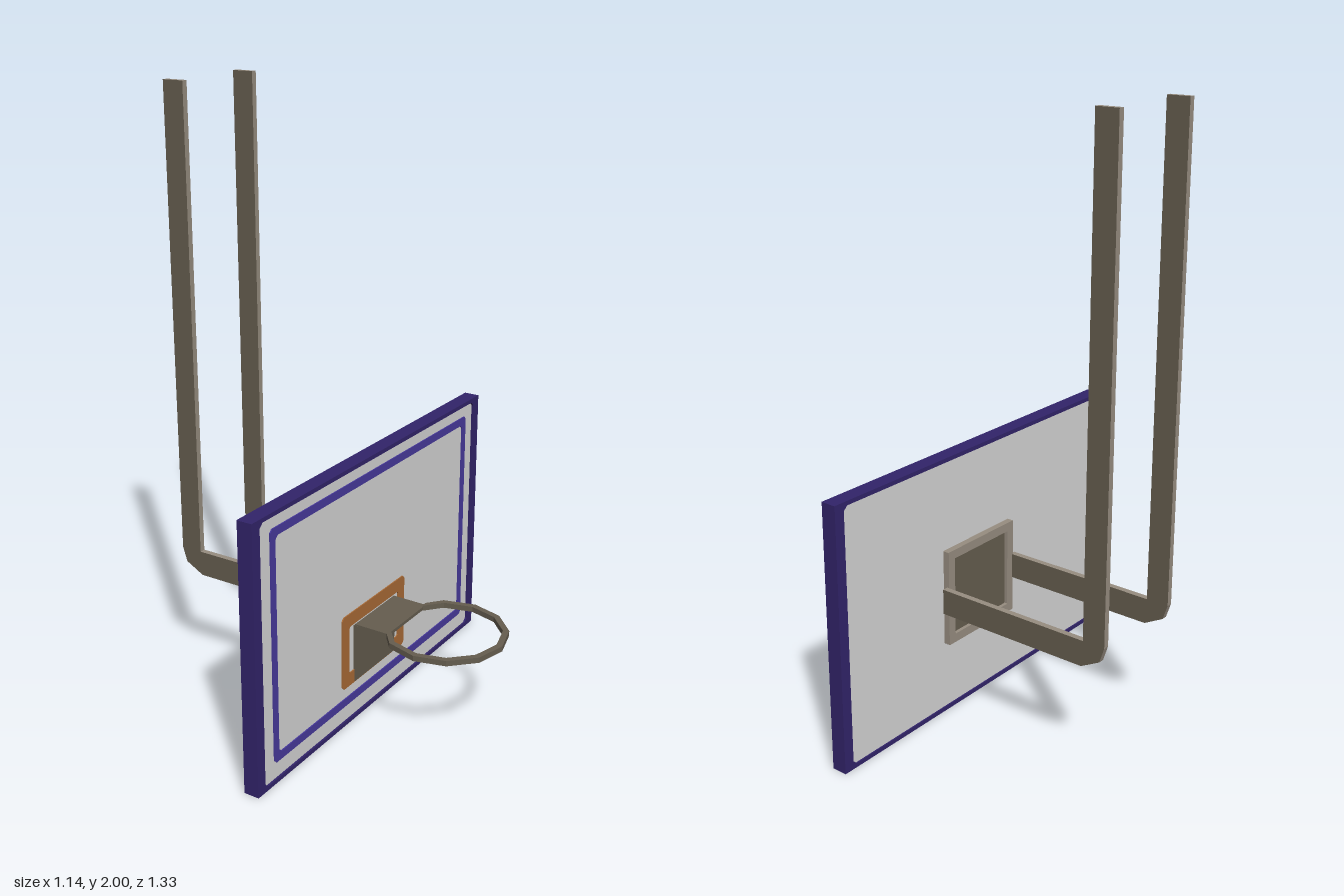
import * as THREE from 'three';

const mat = (name, color, side = THREE.FrontSide) => {
  const m = new THREE.MeshStandardMaterial({ color, side });
  m.name = name;
  return m;
};

export function createModel() {
  const navy = mat('navy frame', 0x32246a);
  const violet = mat('violet line', 0x47399c);
  const grey = mat('board grey', 0xd4d4d4);
  const orange = mat('target orange', 0xa86a36);
  const steel = mat('dark steel', 0x655d4f);
  const paleSteel = mat('pale steel', 0x978d80);

  const model = new THREE.Group();
  const add = (name, geometry, material) => {
    const mesh = new THREE.Mesh(geometry, material);
    mesh.name = name;
    model.add(mesh);
    return mesh;
  };
  const box = (name, x0, x1, y0, y1, z0, z1, material) =>
    add(name, new THREE.BoxGeometry(x1 - x0, y1 - y0, z1 - z0)
      .translate((x0 + x1) / 2, (y0 + y1) / 2, (z0 + z1) / 2), material);

  // Rectangle with cut corners, drawn in the plane of the board (u = -z)
  const cutRect = (z0, z1, y0, y1, c) => {
    const a = -z1, b = -z0;
    return [[a + c, y0], [b - c, y0], [b, y0 + c], [b, y1 - c],
      [b - c, y1], [a + c, y1], [a, y1 - c], [a, y0 + c]].map(p => new THREE.Vector2(...p));
  };
  // Rectangular ring facing +x
  const ring = (name, [z0, z1, y0, y1], wz, wy, x, depth, cutOut, cutIn, material) => {
    const shape = new THREE.Shape(cutRect(z0, z1, y0, y1, cutOut));
    shape.holes.push(new THREE.Path(cutRect(z0 + wz, z1 - wz, y0 + wy, y1 - wy, cutIn)));
    const g = new THREE.ExtrudeGeometry(shape, { depth, bevelEnabled: false });
    add(name, g.rotateY(Math.PI / 2).translate(x, 0, 0), material);
  };

  // Backboard
  ring('boardFrame', [-0.664, 0.662, 0, 0.885], 0.036, 0.014, 0.055, 0.052, 0.0005, 0.014, navy);
  box('boardPanel', 0.06, 0.1, 0.006, 0.879, -0.65, 0.648, grey);
  ring('borderLine', [-0.58, 0.573, 0.068, 0.832], 0.024, 0.027, 0.1, 0.004, 0.01, 0.012, violet);
  ring('targetSquare', [-0.175, 0.203, 0.132, 0.388], 0.04, 0.045, 0.1, 0.004, 0.01, 0.006, orange);

  // Rear mounting plate with a raised rim
  ring('mountRim', [-0.19, 0.14, 0.245, 0.573], 0.03, 0.03, 0.038, 0.022, 0.001, 0.001, paleSteel);
  box('mountPlate', 0.05, 0.06, 0.26, 0.56, -0.18, 0.13, steel);

  // Two bent hanger bars: dark broad faces, pale narrow edges
  const bar = new THREE.Shape([
    [0.045, 0.365], [-0.492, 0.365], [-0.557, 0.4], [-0.573, 0.45],
    [-0.573, 2], [-0.497, 2], [-0.497, 0.45], [0.045, 0.45],
  ].map(p => new THREE.Vector2(...p)));
  for (const [name, z] of [['frontHanger', 0.137], ['rearHanger', -0.211]]) {
    const g = new THREE.ExtrudeGeometry(bar, { depth: 0.02, bevelEnabled: false });
    add(name, g.translate(0, 0, z), [steel, paleSteel]);
  }

  // Hoop bracket: flat shelf and a tapered upright plate
  box('bracketShelf', 0.104, 0.226, 0.328, 0.339, -0.108, 0.13, steel);
  const wedge = new THREE.Shape([
    [0.1, 0.135], [0.106, 0.135], [0.109, 0.2], [0.117, 0.335], [0.1, 0.335],
  ].map(p => new THREE.Vector2(...p)));
  add('bracketUpright', new THREE.ExtrudeGeometry(wedge, { depth: 0.238, bevelEnabled: false })
    .translate(0, 0, -0.106), steel);

  // Twelve-sided flat hoop, open where it meets the shelf
  const sides = 12, outer = [], inner = [];
  for (let i = -5; i <= 5; i++) {
    const a = (i / sides) * Math.PI * 2;
    const point = r => new THREE.Vector2(r * Math.cos(a), r * Math.sin(a));
    outer.push(point(0.201));
    inner.unshift(point(0.181));
  }
  // The ends run straight into the shelf corners
  outer[0].set(-0.143, -0.122); outer[10].set(-0.143, 0.122);
  inner[10].set(-0.14, -0.1); inner[0].set(-0.14, 0.1);
  outer[1].set(-0.102, -0.172); outer[9].set(-0.102, 0.172);
  inner[9].set(-0.092, -0.156); inner[1].set(-0.092, 0.156);
  const hoop = new THREE.ExtrudeGeometry(new THREE.Shape([...outer, ...inner]),
    { depth: 0.018, bevelEnabled: false });
  add('hoop', hoop.rotateX(-Math.PI / 2).translate(0.365, 0.325, 0.01), steel);

  return model;
}
